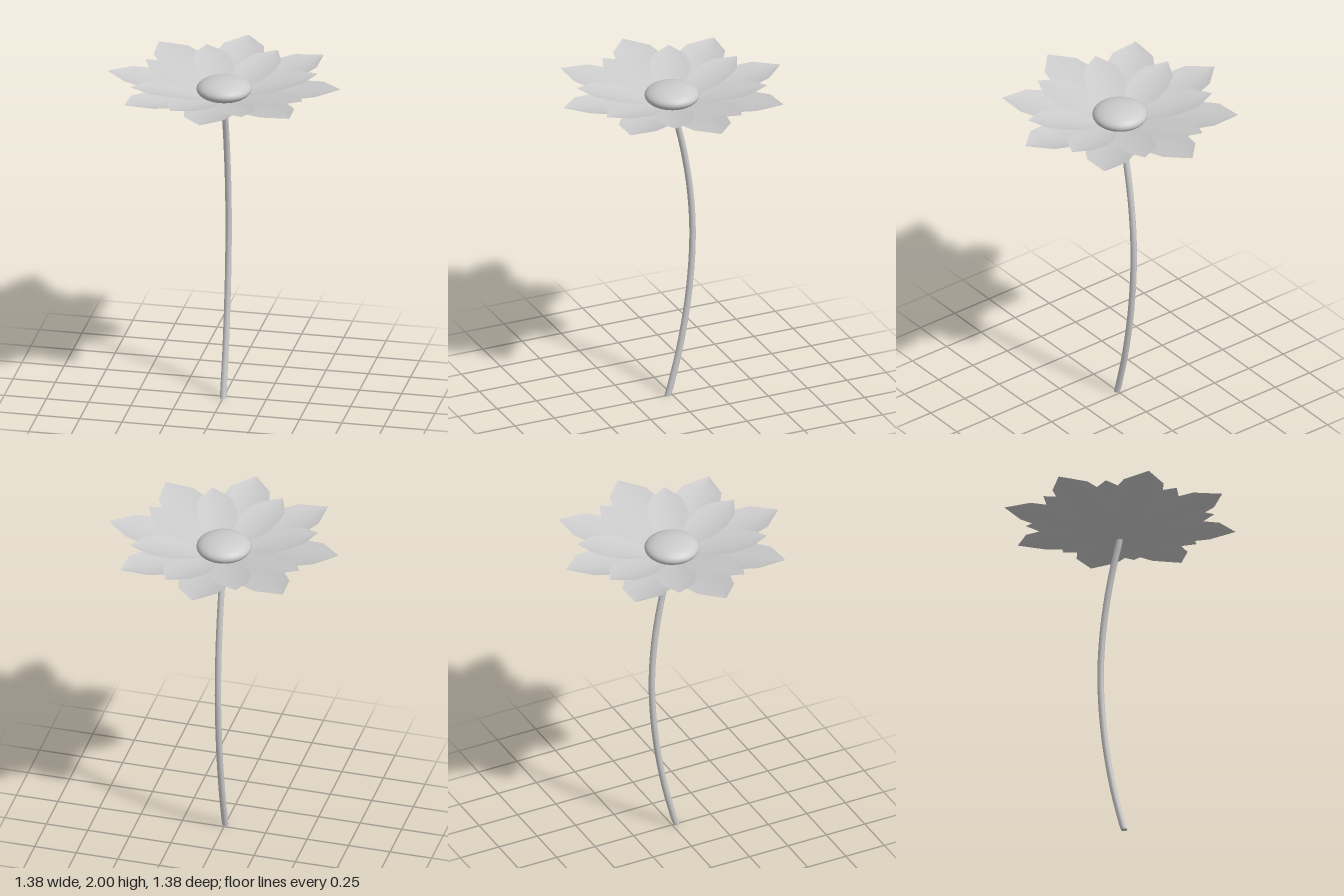
import * as THREE from 'three';

const grey = new THREE.MeshStandardMaterial({ color: 0xcccccc, side: THREE.DoubleSide });

// Petal outline: distance from the axis and half width
const OUTLINE = [[0.03, 0.012], [0.1, 0.036], [0.2, 0.08], [0.335, 0.138], [0.44, 0.147], [0.565, 0.118], [0.69, 0.001]];

// Thin cupped petal along +z: straight rising spine, edges lifted
function petalGeometry(scale, yBase, yTip, cup) {
  const cols = 6, pos = [], idx = [];
  const r0 = OUTLINE[0][0], r1 = OUTLINE[OUTLINE.length - 1][0];
  OUTLINE.forEach(([r, w], i) => {
    const y = THREE.MathUtils.lerp(yBase, yTip, (r - r0) / (r1 - r0));
    for (let j = 0; j <= cols; j++) {
      const x = (j / cols * 2 - 1) * w * scale;
      pos.push(x, y + cup * x * x, r * scale);
      if (i && j) {
        const d = i * (cols + 1) + j, c = d - 1, b = d - cols - 1, a = b - 1;
        idx.push(a, c, b, b, c, d);
      }
    }
  });
  const g = new THREE.BufferGeometry();
  g.setAttribute('position', new THREE.Float32BufferAttribute(pos, 3));
  g.setIndex(idx);
  g.computeVertexNormals();
  return g;
}

// Ring of eight equal petals
function petalRing(name, geometry, turn) {
  const ring = new THREE.Group();
  ring.name = name;
  for (let i = 0; i < 8; i++) {
    const petal = new THREE.Mesh(geometry, grey);
    petal.name = name + 'Petal';
    petal.rotation.y = turn + i * Math.PI / 4;
    ring.add(petal);
  }
  return ring;
}

export function createModel() {
  const flower = new THREE.Group();
  flower.name = 'flower';

  // Petal layers
  flower.add(
    petalRing('outer', petalGeometry(1, 1.862, 1.99, 1.1), 0),
    petalRing('inner', petalGeometry(0.8, 1.874, 1.987, 1.1), Math.PI / 8),
    petalRing('sepal', petalGeometry(0.54, 1.858, 1.922, 1.1), 0)
  );

  // Flattened seed head
  const head = new THREE.Mesh(new THREE.SphereGeometry(0.16, 32, 20), grey);
  head.name = 'seedHead';
  head.scale.y = 0.4;
  head.position.y = 1.936;
  flower.add(head);

  // Bowed stem, trimmed flat at the ground
  const path = new THREE.CatmullRomCurve3(
    [[-0.01, 0.028], [0.3, -0.05], [0.65, -0.108], [1, -0.131], [1.3, -0.115], [1.6, -0.067], [1.87, 0]]
      .map(([y, z]) => new THREE.Vector3(0, y, z)));
  const tube = new THREE.TubeGeometry(path, 32, 0.019, 12);
  const p = tube.attributes.position;
  for (let i = 0; i < p.count; i++) p.setY(i, i < 13 ? 0 : Math.max(0, p.getY(i)));
  const stem = new THREE.Mesh(tube, grey);
  stem.name = 'stem';
  flower.add(stem);

  // Cut end of the stem
  const end = new THREE.Mesh(new THREE.CircleGeometry(0.019, 12), grey);
  end.name = 'stemEnd';
  end.rotation.x = Math.PI / 2;
  end.position.z = 0.028;
  flower.add(end);

  return flower;
}
